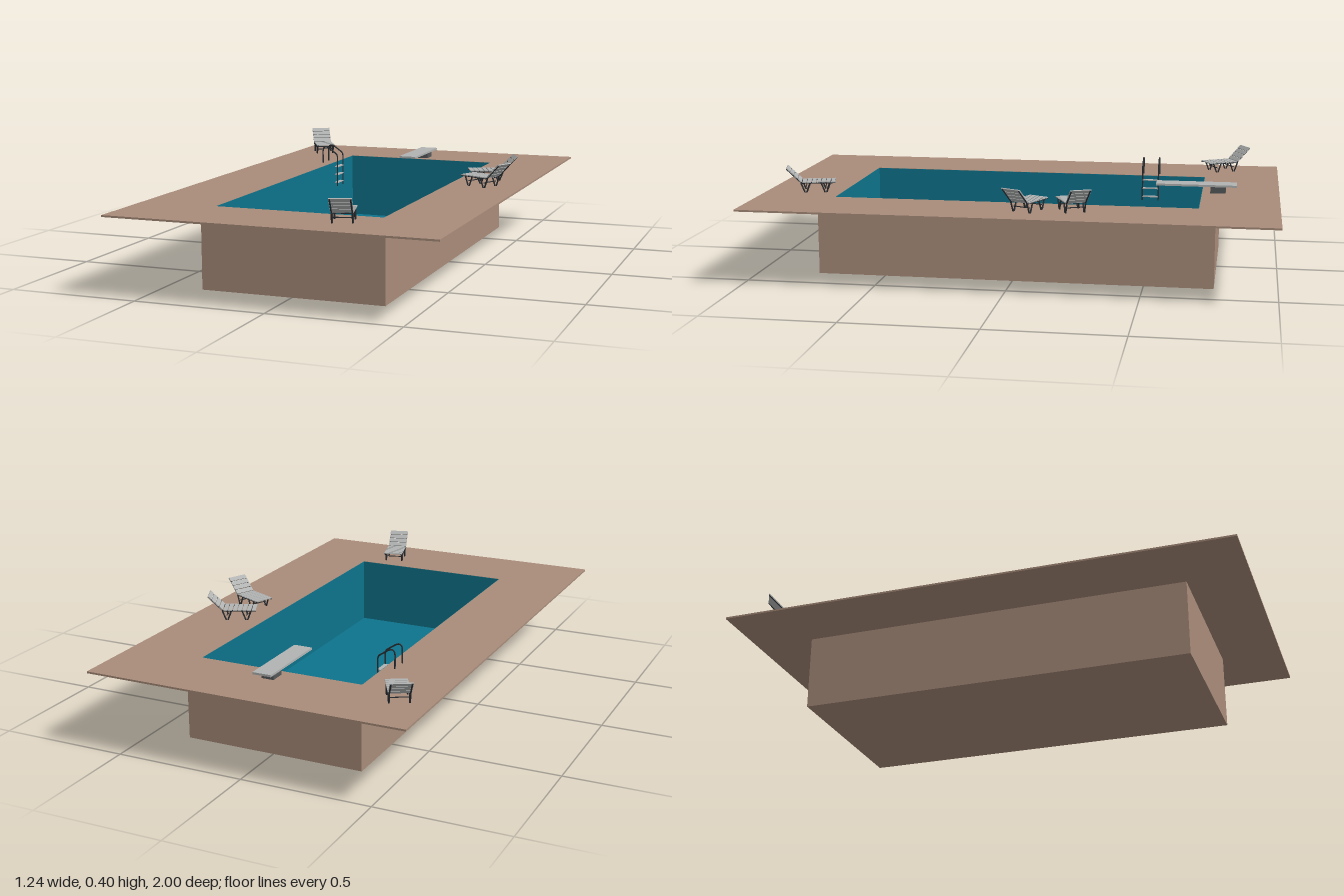
import * as THREE from 'three';

const mat = (name, color) => {
  const m = new THREE.MeshStandardMaterial({ color });
  m.name = name;
  return m;
};

export function createModel() {
  const stone = mat('tan stone', 0xa98c7a);
  const water = mat('teal pool lining', 0x0d738c);
  const slatGrey = mat('light grey', 0xb2b4b4);
  const baseGrey = mat('mid grey', 0x55585a);
  const dark = mat('dark metal', 0x2b2f33);

  const pool = new THREE.Group();
  pool.name = 'swimmingPool';

  const add = (parent, name, geometry, material, x = 0, y = 0, z = 0) => {
    const mesh = new THREE.Mesh(geometry, material);
    mesh.name = name;
    mesh.position.set(x, y, z);
    parent.add(mesh);
    return mesh;
  };
  const box = (parent, name, material, w, h, d, x, y, z) =>
    add(parent, name, new THREE.BoxGeometry(w, h, d), material, x, y, z);

  // Straight round bar between two points
  const bar = (parent, name, a, b, radius, material) => {
    const from = new THREE.Vector3(...a), to = new THREE.Vector3(...b);
    const dir = to.clone().sub(from);
    const mesh = add(parent, name, new THREE.CylinderGeometry(radius, radius, dir.length(), 8), material);
    mesh.position.copy(from).add(to).multiplyScalar(0.5);
    mesh.quaternion.setFromUnitVectors(new THREE.Vector3(0, 1, 0), dir.normalize());
  };

  // Rectangular ring lying flat, with the pool opening cut out
  const ring = (name, halfX, halfZ, bottom, top) => {
    const rect = (path, x, z) => path.moveTo(-x, -z).lineTo(x, -z).lineTo(x, z).lineTo(-x, z).closePath();
    const shape = rect(new THREE.Shape(), halfX, halfZ);
    shape.holes.push(rect(new THREE.Path(), 0.325, 0.7));
    const geometry = new THREE.ExtrudeGeometry(shape, { depth: top - bottom, bevelEnabled: false });
    geometry.rotateX(-Math.PI / 2);
    add(pool, name, geometry, stone, 0, bottom, 0);
  };
  ring('deck', 0.622, 1, 0.293, 0.3);
  ring('basinWalls', 0.353, 0.763, 0, 0.293);
  box(pool, 'basinFloor', stone, 0.65, 0.026, 1.4, 0, 0.013, 0);

  // Teal lining on the floor and four inner walls
  box(pool, 'floorLining', water, 0.65, 0.004, 1.4, 0, 0.028, 0);
  for (const s of [-1, 1]) {
    box(pool, 'sideLining', water, 0.003, 0.27, 1.4, s * 0.3245, 0.164, 0);
    box(pool, 'endLining', water, 0.65, 0.27, 0.003, 0, 0.164, s * 0.6995);
  }

  // Diving board
  box(pool, 'divingBoard', slatGrey, 0.073, 0.008, 0.315, 0, 0.331, -0.677);
  box(pool, 'divingBoardBase', baseGrey, 0.048, 0.028, 0.06, 0, 0.313, -0.762);

  // Ladder: two bent rails joined by steps
  const ladder = new THREE.Group();
  ladder.name = 'ladder';
  pool.add(ladder);
  const railPath = new THREE.CurvePath();
  const v = (x, y) => new THREE.Vector3(x, y, 0);
  railPath.add(new THREE.LineCurve3(v(-0.365, 0.298), v(-0.365, 0.355)));
  railPath.add(new THREE.QuadraticBezierCurve3(v(-0.365, 0.355), v(-0.361, 0.38), v(-0.338, 0.367)));
  railPath.add(new THREE.LineCurve3(v(-0.338, 0.367), v(-0.306, 0.345)));
  railPath.add(new THREE.QuadraticBezierCurve3(v(-0.306, 0.345), v(-0.297, 0.339), v(-0.297, 0.325)));
  railPath.add(new THREE.LineCurve3(v(-0.297, 0.325), v(-0.297, 0.2)));
  for (const z of [-0.508, -0.442])
    add(ladder, 'ladderRail', new THREE.TubeGeometry(railPath, 48, 0.003, 8), dark, 0, 0, z);
  for (const y of [0.285, 0.25, 0.215])
    box(ladder, 'ladderStep', slatGrey, 0.016, 0.004, 0.066, -0.302, y, -0.475);

  // Sun lounger, head towards local +x, standing on y = 0
  const lounger = (x, z, headX, headZ) => {
    const g = new THREE.Group();
    g.name = 'lounger';
    g.position.set(x, 0.3, z);
    g.rotation.y = Math.atan2(-headZ, headX);
    pool.add(g);
    const hinge = 0.035, seatY = 0.041, foot = -0.095, head = 0.093, headY = 0.098;
    for (const s of [-1, 1]) {
      const side = s * 0.036;
      bar(g, 'seatRail', [foot, seatY - 0.003, side], [hinge, seatY - 0.003, side], 0.0028, dark);
      bar(g, 'backRail', [hinge, seatY - 0.003, side], [head, headY - 0.003, side], 0.0028, dark);
      // V-shaped legs
      for (const t of [-0.058, 0.02])
        for (const lean of [-1, 1])
          bar(g, 'leg', [t + lean * 0.003, 0, side], [t + lean * 0.018, seatY - 0.003, side], 0.003, dark);
    }
    for (const t of [-0.058, 0.02])
      bar(g, 'crossBar', [t, 0.02, -0.036], [t, 0.02, 0.036], 0.002, dark);
    // Seat slats
    for (let i = 0; i < 7; i++)
      box(g, 'seatSlat', slatGrey, 0.0155, 0.004, 0.08, foot + 0.008 + i * 0.0187, seatY, 0);
    // Back slats
    const angle = Math.atan2(headY - seatY, head - hinge);
    for (let i = 0; i < 4; i++) {
      const f = (i + 0.55) / 4;
      const slat = box(g, 'backSlat', slatGrey, 0.0175, 0.004, 0.08,
        hinge + (head - hinge) * f, seatY + (headY - seatY) * f, 0);
      slat.rotation.z = angle;
    }
  };
  lounger(-0.5, -0.78, -17.5, -31);
  lounger(0.458, -0.246, 33.5, -15);
  lounger(0.479, -0.069, 33.5, 15.5);
  lounger(0.222, 0.828, 9.5, 36);

  return pool;
}
